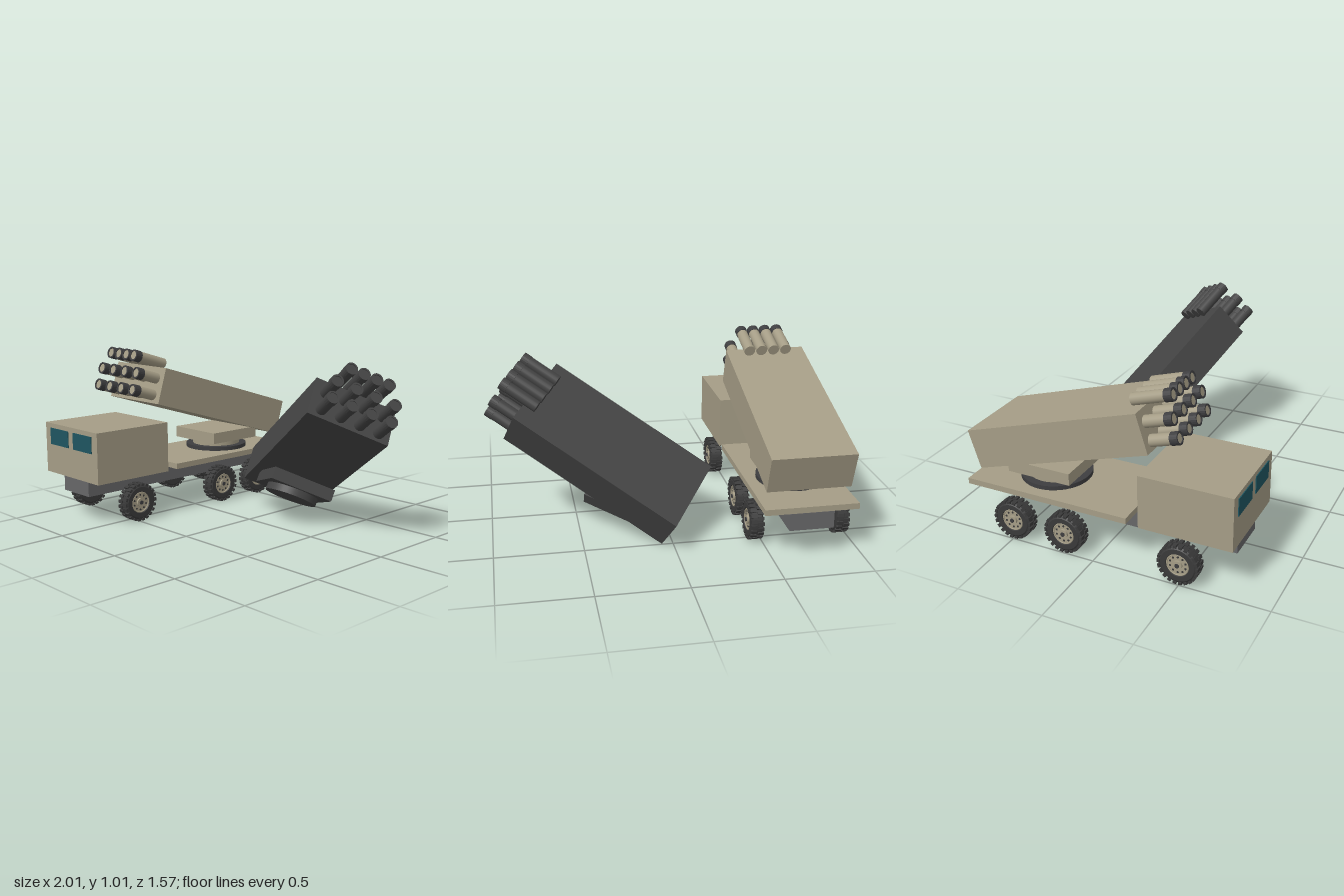
import * as THREE from 'three';

const mat = (name, color) => {
  const m = new THREE.MeshStandardMaterial({ color });
  m.name = name;
  return m;
};

export function createModel() {
  const tan = mat('tan paint', 0xa59d86);
  const charcoal = mat('charcoal', 0x444444);
  const frameGrey = mat('frame grey', 0x666668);
  const rubber = mat('rubber', 0x3a3a3a);
  const steel = mat('dark steel', 0x3e3e40);
  const glass = mat('teal glass', 0x1f5560);

  const root = new THREE.Group();
  root.name = 'launcherTruckWithSpareLauncher';

  const add = (parent, name, geo, material, x = 0, y = 0, z = 0) => {
    const m = new THREE.Mesh(geo, material);
    m.name = name;
    m.position.set(x, y, z);
    parent.add(m);
    return m;
  };
  const box = (w, h, d) => new THREE.BoxGeometry(w, h, d);
  const cyl = (r, h, n = 32) => new THREE.CylinderGeometry(r, r, h, n);
  const CX = -0.71; // truck centre line

  // Truck body
  const truck = new THREE.Group();
  truck.name = 'truck';
  truck.position.x = CX;
  root.add(truck);
  add(truck, 'chassis', box(0.25, 0.1, 1.535), frameGrey, 0, 0.22, -0.015);
  add(truck, 'cab', box(0.53, 0.305, 0.52), tan, 0, 0.4225, 0.52);
  add(truck, 'deck', box(0.53, 0.034, 0.975), tan, 0, 0.289, -0.2975);
  add(truck, 'slewRing', cyl(0.2, 0.025, 40), steel, 0, 0.318, -0.375);
  for (const s of [-1, 1])
    add(truck, 'windscreen', box(0.185, 0.1, 0.008), glass, s * 0.118, 0.497, 0.781);

  // Wheels: built along +y, outer face up, then turned outward
  const tyreProfile = [
    [0, -0.036], [0.092, -0.036], [0.108, -0.026], [0.108, 0.026],
    [0.094, 0.036], [0.066, 0.036], [0.062, 0.026], [0.062, 0.01],
  ].map(([r, y]) => new THREE.Vector2(r, y));
  const tyreGeo = new THREE.LatheGeometry(tyreProfile, 36).toNonIndexed();
  tyreGeo.computeVertexNormals();
  const lugGeo = box(0.014, 0.034, 0.019);

  function makeWheel(side, z) {
    const w = new THREE.Group();
    w.name = 'wheel';
    add(w, 'tyre', tyreGeo, rubber);
    const lugs = 22;
    for (let i = 0; i < lugs; i++) {
      for (const row of [-1, 1]) {
        const a = ((i + (row > 0 ? 0.5 : 0)) / lugs) * Math.PI * 2;
        const l = add(w, 'treadLug', lugGeo, rubber,
          Math.cos(a) * 0.108, row * 0.02, Math.sin(a) * 0.108);
        l.rotation.y = -a;
      }
    }
    add(w, 'rim', cyl(0.062, 0.016, 28), tan, 0, 0.018, 0);
    const lip = add(w, 'rimLip', new THREE.TorusGeometry(0.06, 0.004, 6, 28), tan, 0, 0.03, 0);
    lip.rotation.x = Math.PI / 2;
    for (let i = 0; i < 10; i++) {
      const a = (i / 10) * Math.PI * 2;
      add(w, 'rimHole', cyl(0.006, 0.004, 8), rubber, Math.cos(a) * 0.045, 0.0265, Math.sin(a) * 0.045);
    }
    add(w, 'hub', cyl(0.026, 0.014, 16), tan, 0, 0.03, 0);
    add(w, 'hubCap', cyl(0.012, 0.008, 12), steel, 0, 0.039, 0);
    w.rotation.z = -side * Math.PI / 2;
    w.position.set(side * 0.25, 0.12, z);
    truck.add(w);
  }
  for (const side of [-1, 1]) for (const z of [0.49, -0.18, -0.5]) makeWheel(side, z);

  // Launcher: origin at the bottom rear edge of the pod, +z along the tubes
  const TILT = THREE.MathUtils.degToRad(17.1);
  const L = 1.067, H = 0.224, R = 0.033;
  const collarProfile = [[R, -0.045], [0.0355, -0.045], [0.0355, 0], [0.026, 0], [0.026, -0.012]]
    .map(([r, y]) => new THREE.Vector2(r, y));
  const collarGeo = new THREE.LatheGeometry(collarProfile, 20).toNonIndexed();
  collarGeo.computeVertexNormals();

  function makeLauncher(name, body, tip) {
    const g = new THREE.Group();
    g.name = name;
    add(g, 'pod', box(0.48, H, L), body, 0, H / 2, L / 2);

    // Three rows of tubes; the top row rests on the pod roof, closer together
    const rows = [[0.05, 0.114], [0.154, 0.114], [0.257, 0.075]];
    for (const [y, pitch] of rows) {
      for (let i = 0; i < 4; i++) {
        const t = new THREE.Group();
        t.name = 'launchTube';
        add(t, 'barrel', cyl(R, 0.225, 20), body, 0, -0.1245, 0);
        add(t, 'muzzleCollar', collarGeo, tip);
        add(t, 'muzzleFace', cyl(0.027, 0.008, 20), body, 0, -0.009, 0);
        t.rotation.x = Math.PI / 2;
        t.position.set((i - 1.5) * pitch, y, L + 0.165);
        g.add(t);
      }
    }

    // Level mount under the tilted pod
    const mount = new THREE.Group();
    mount.name = 'mount';
    mount.rotation.x = TILT;
    add(mount, 'mountPlate', box(0.38, 0.07, 0.38), body, 0, 0.025, 0.335);
    add(mount, 'turntable', cyl(0.157, 0.045, 40), body, 0, -0.03, 0.335);
    g.add(mount);
    root.add(g);
    return g;
  }

  const mounted = makeLauncher('mountedLauncher', tan, steel);
  mounted.position.set(CX, 0.375, -0.71);
  mounted.rotation.x = -TILT;

  // Detached launcher lying tilted beside the truck
  const spare = makeLauncher('detachedLauncher', charcoal, charcoal);
  const fwd = new THREE.Vector3(0.787, 0.523, 0.325).normalize();
  const side = new THREE.Vector3(-0.263, 0.746, -0.614).cross(fwd).normalize();
  const up = fwd.clone().cross(side);
  spare.quaternion.setFromRotationMatrix(new THREE.Matrix4().makeBasis(side, up, fwd));
  spare.position.set(-0.07, 0.105, -0.33);

  return root;
}
